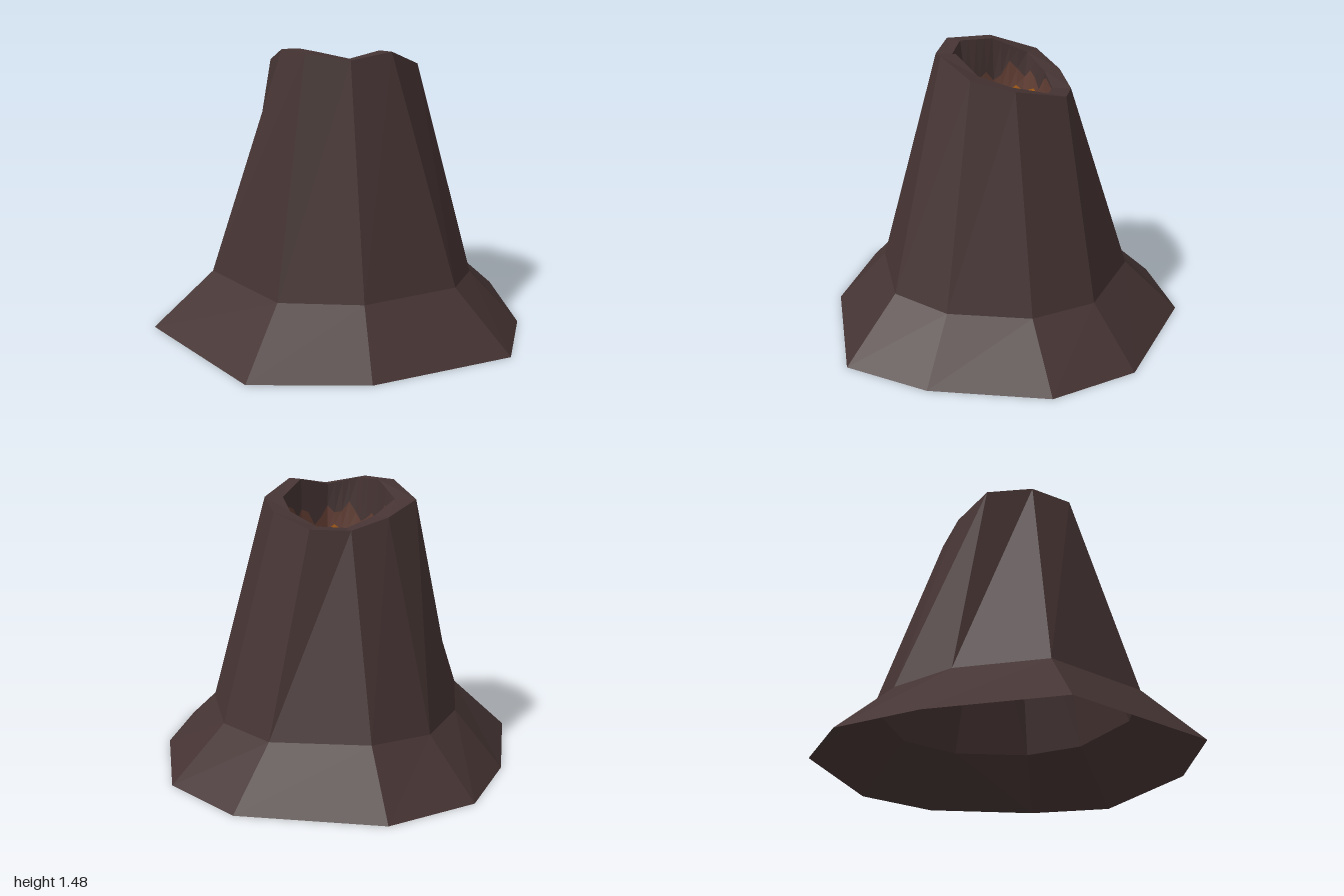
import * as THREE from 'three';

const mat = (name, color) => {
  const m = new THREE.MeshStandardMaterial({ color, side: THREE.DoubleSide, flatShading: true });
  m.name = name;
  return m;
};

// Joins matching closed rings of [x, y, z] points with flat quads.
function loft(rings) {
  const pos = [];
  for (let r = 0; r < rings.length - 1; r++) {
    const a = rings[r], b = rings[r + 1], n = a.length;
    for (let i = 0; i < n; i++) {
      const j = (i + 1) % n;
      pos.push(...a[i], ...a[j], ...b[j], ...a[i], ...b[j], ...b[i]);
    }
  }
  const g = new THREE.BufferGeometry();
  g.setAttribute('position', new THREE.Float32BufferAttribute(pos, 3));
  g.computeVertexNormals();
  return g;
}

// Splits every side of a ring into n pieces.
function subdivide(ring, n) {
  const out = [];
  ring.forEach((p, i) => {
    const q = ring[(i + 1) % ring.length];
    for (let k = 0; k < n; k++) out.push(p.map((v, c) => v + (q[c] - v) * k / n));
  });
  return out;
}

export function createModel() {
  const group = new THREE.Group();
  const rock = mat('darkRock', 0x443332);
  const hotRock = mat('hotRock', 0x603d33);
  const lava = mat('lava', 0xa65b0f);
  const add = (name, geometry, material) => {
    const m = new THREE.Mesh(geometry, material);
    m.name = name;
    group.add(m);
  };

  // Ten-sided irregular rings, counter-clockwise from the front
  const foot = [[.39, 0, .95], [.78, 0, .5], [1, 0, -.23], [.73, 0, -.61], [.23, 0, -.96],
    [-.25, 0, -.96], [-.85, 0, -.53], [-1, 0, -.06], [-.85, 0, .39], [-.49, 0, .94]];
  const shoulder = [[.27, .3, .67], [.55, .29, .35], [.69, .3, -.145], [.53, .28, -.43], [.17, .27, -.66],
    [-.19, .27, -.67], [-.6, .28, -.37], [-.7, .27, -.04], [-.61, .29, .29], [-.33, .3, .66]];
  const rim = [[.125, 1.48, .37], [.27, 1.445, .2], [.34, 1.48, -.01], [.29, 1.4, -.24], [.1, 1.345, -.35],
    [-.18, 1.29, -.37], [-.31, 1.28, -.21], [-.37, 1.33, 0], [-.36, 1.4, .23], [-.12, 1.48, .33]];
  const lip = rim.map(([x, y, z]) => [x * .74, y, z * .74]);
  add('mountainSlope', loft([foot, shoulder, rim]), rock);
  add('craterRim', loft([rim, lip]), rock);

  // Crater wall: rock, a jagged hot band, then a jagged lava band
  const level = 1.14;
  const pool = lip.map((_, i) => {
    const a = (18 + 36 * i) * Math.PI / 180;
    return [.255 * Math.sin(a) - .01, level, .25 * Math.cos(a) - .01];
  });
  const top = subdivide(lip, 4), bottom = subdivide(pool, 4);
  const wallRing = heightAt => top.map((t, i) => {
    const f = Math.min(.9, (heightAt(i) - level) / (t[1] - level));
    return bottom[i].map((v, c) => v + (t[c] - v) * f);
  });
  const hotTop = wallRing(i => 1.29 + .04 * Math.sin(i * 1.9) + .03 * Math.sin(i * .8));
  const lavaTop = wallRing(i => 1.205 + .018 * Math.sin(i * 2.3 + 1));
  add('craterWall', loft([top, hotTop]), rock);
  add('hotBand', loft([hotTop, lavaTop]), hotRock);
  add('lavaBand', loft([lavaTop, bottom]), lava);

  // Lava pool surface
  add('lavaPool', loft([pool, pool.map(() => [-.01, level, -.01])]), lava);
  return group;
}
